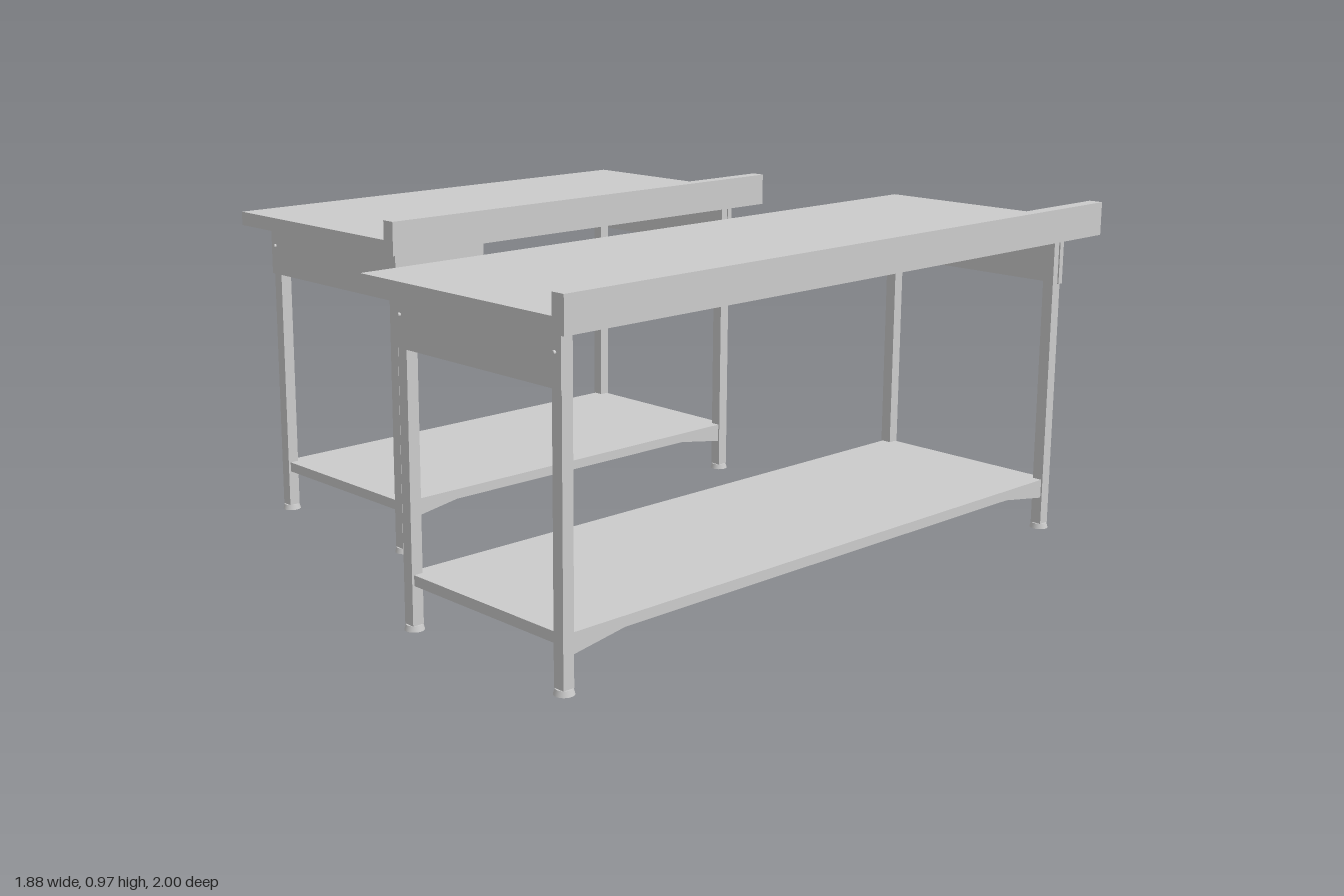
import * as THREE from 'three';

const mat = new THREE.MeshStandardMaterial({ color: 0xcccccc, side: THREE.DoubleSide });

function add(parent, name, geometry, x = 0, y = 0, z = 0) {
  const mesh = new THREE.Mesh(geometry, mat);
  mesh.name = name;
  mesh.position.set(x, y, z);
  parent.add(mesh);
  return mesh;
}

// Box given by its limits on each axis
function box(parent, name, [x0, x1], [y0, y1], [z0, z1]) {
  return add(parent, name, new THREE.BoxGeometry(x1 - x0, y1 - y0, z1 - z0),
    (x0 + x1) / 2, (y0 + y1) / 2, (z0 + z1) / 2);
}

function polygon(points) {
  return new THREE.Shape(points.map(([x, y]) => new THREE.Vector2(x, y)));
}

const extrude = (points, depth) =>
  new THREE.ExtrudeGeometry(polygon(points), { depth, bevelEnabled: false });

// Work table: x = 0 is the open long edge, y = 0 the floor
function makeTable(name, zBack, zFront, legBack, legFront) {
  const table = new THREE.Group();
  table.name = name;
  const legX = [0.058, 0.623], half = 0.0165, topY = 0.868;

  // Worktop with upstand along one long edge
  const profile = [[0, topY], [0.735, topY], [0.735, 0.96], [0.695, 0.96], [0.695, 0.907], [0, 0.907]];
  add(table, 'worktop', extrude(profile, zFront - zBack), 0, 0, zBack);

  // Legs with adjustable round feet
  for (const z of [legBack, legFront]) {
    for (const x of legX) {
      box(table, 'leg', [x - half, x + half], [0.015, topY], [z - half, z + half]);
      add(table, 'foot', new THREE.CylinderGeometry(0.022, 0.026, 0.015, 24), x, 0.0075, z);
    }
  }

  // End aprons, folded around the outside of the legs and bolted on
  for (const [z, s] of [[legBack, -1], [legFront, 1]]) {
    const inner = z + s * half, outer = inner + s * 0.005;
    const x0 = legX[0] - half - 0.004, x1 = legX[1] + half + 0.004;
    const span = (a, b) => [Math.min(a, b), Math.max(a, b)];
    box(table, 'apron', [x0, x1], [0.722, topY], span(inner, outer));
    box(table, 'apronFlange', [x0, x0 + 0.004], [0.722, topY], span(inner, z + s * 0.005));
    box(table, 'apronFlange', [x1 - 0.004, x1], [0.722, topY], span(inner, z + s * 0.005));
    for (const x of legX) {
      const bolt = add(table, 'bolt', new THREE.CylinderGeometry(0.005, 0.005, 0.008, 12),
        x, 0.805, outer + s * 0.003);
      bolt.rotation.x = Math.PI / 2;
    }
  }

  // Lower shelf: open pan with turned-down edges
  const t = 0.004, low = 0.12, high = 0.148;
  const sx = [legX[0] - 0.012, legX[1] + 0.012], sz = [legBack - 0.01, legFront + 0.01];
  box(table, 'shelf', sx, [high - t, high], sz);
  for (const x of [sx[0], sx[1] - t]) box(table, 'shelfSide', [x, x + t], [low, high], sz);
  for (const z of [sz[0], sz[1] - t]) box(table, 'shelfEnd', sx, [low, high], [z, z + t]);

  // Tapered gussets under the long shelf edges
  for (const [z, s] of [[legBack, 1], [legFront, -1]]) {
    const a = z + s * half, b = a + s * 0.165;
    for (const x of [sx[0], sx[1] - t]) {
      const g = extrude([[-z, low], [-a, 0.094], [-b, low]], t);
      g.rotateY(Math.PI / 2);
      add(table, 'shelfGusset', g, x);
    }
  }
  return table;
}

// Drawer hanging under the worktop, opening towards -x
function makeDrawer() {
  const drawer = new THREE.Group();
  drawer.name = 'drawer';
  const t = 0.005, x = [0, 0.415], y = [0.722, 0.86], z = [0.075, 0.495];
  box(drawer, 'drawerFront', [-0.015, 0], [0.705, 0.867], [0.045, 0.523]);
  box(drawer, 'drawerBottom', x, [y[0], y[0] + t], z);
  box(drawer, 'drawerBack', [x[1] - t, x[1]], y, z);
  for (const s of z) {
    const inward = s === z[0] ? 0 : -t;
    box(drawer, 'drawerSide', x, y, [s + inward, s + inward + t]);
    const r = s === z[0] ? s - 0.014 : s + 0.002;
    box(drawer, 'drawerRunner', x, [0.83, 0.868], [r, r + 0.012]);
  }
  // Bar handle
  box(drawer, 'handleBar', [-0.056, -0.049], [0.797, 0.805], [0.228, 0.332]);
  for (const s of [0.228, 0.325]) {
    box(drawer, 'handlePost', [-0.05, -0.015], [0.797, 0.805], [s, s + 0.007]);
  }
  return drawer;
}

export function createModel() {
  const model = new THREE.Group();
  model.name = 'workTables';

  const shortTable = makeTable('shortTable', -0.79, 0.64, -0.725, 0.545);
  shortTable.add(makeDrawer());
  shortTable.position.set(-0.889, 0, 0);

  const longTable = makeTable('longTable', -1, 1, -0.94, 0.907);
  longTable.position.set(0.203, 0.008, 0);

  model.add(shortTable, longTable);
  return model;
}
